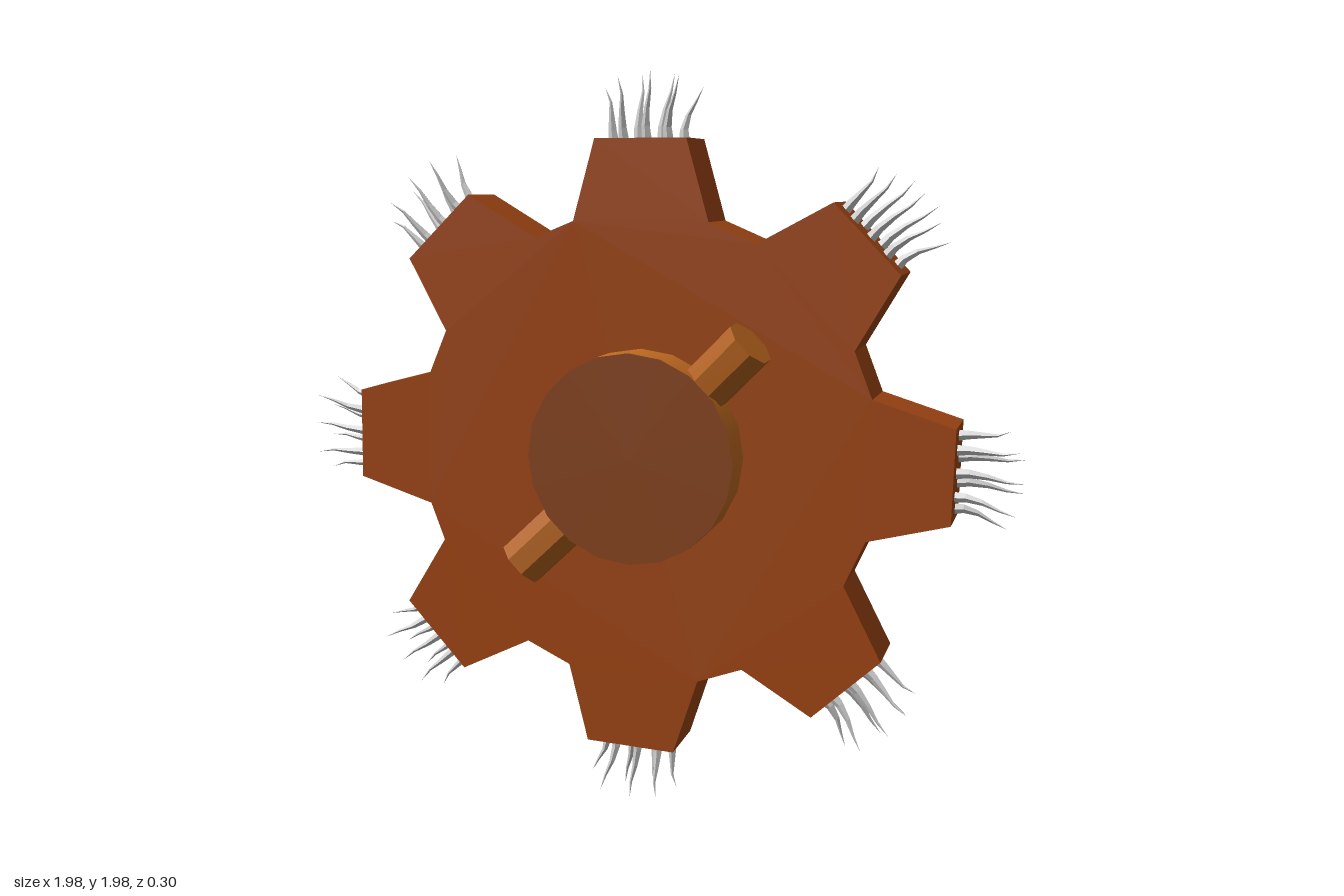
import * as THREE from 'three';

const rad = THREE.MathUtils.degToRad;
const BACK = -0.15, FRONT = 0.022;
// Slightly uneven, hand-cut tooth directions, going clockwise from the top
const TEETH = [90, 44.1, -1.2, -46.7, -92, -137.6, -181, -226];
// Spikes on one tooth: offset along the tip, offset in z, splay in z
const SPIKES = [
  [-0.095, 0.002, 0.01], [-0.06, 0.022, 0.03], [-0.035, -0.024, -0.028], [0, 0.018, 0.016],
  [0.03, -0.022, -0.03], [0.06, 0.022, 0.028], [0.095, -0.004, -0.012],
];

const rust = new THREE.MeshStandardMaterial({ color: 0x9c4412, flatShading: true, side: THREE.DoubleSide });
const hubFace = new THREE.MeshStandardMaterial({ color: 0x84421c });
const hubRim = new THREE.MeshStandardMaterial({ color: 0xc06a20 });
const pegWood = new THREE.MeshStandardMaterial({ color: 0xb0601c, flatShading: true });
const steel = new THREE.MeshStandardMaterial({ color: 0xcccccc, flatShading: true });

function add(parent, name, geometry, material) {
  const mesh = new THREE.Mesh(geometry, material);
  mesh.name = name;
  parent.add(mesh);
  return mesh;
}

// Cog outline, counter-clockwise: the same tapered tooth at each direction
function cogOutline() {
  const tooth = [[-0.183, 0.607], [-0.123, 0.818], [0.123, 0.818], [0.183, 0.607]];
  return TEETH.flatMap((deg) => tooth.map(([x, y]) =>
    new THREE.Vector2(x, y).rotateAround(new THREE.Vector2(), rad(deg - 90)))).reverse();
}

// Wall strip running round the outline
function wallGeometry(outline) {
  const positions = [];
  outline.forEach((a, i) => {
    const b = outline[(i + 1) % outline.length];
    positions.push(a.x, a.y, FRONT, a.x, a.y, BACK, b.x, b.y, BACK);
    positions.push(a.x, a.y, FRONT, b.x, b.y, BACK, b.x, b.y, FRONT);
  });
  const g = new THREE.BufferGeometry();
  g.setAttribute('position', new THREE.Float32BufferAttribute(positions, 3));
  g.computeVertexNormals();
  return g;
}

// Thin cone curving sideways and splaying in z; its base sinks through the wall
function spikeGeometry(length, lean, splay) {
  const g = new THREE.ConeGeometry(0.016, length + 0.015, 5, 4);
  g.translate(0, length / 2 - 0.0075, 0);
  const p = g.attributes.position;
  for (let i = 0; i < p.count; i++) {
    const t = Math.max(0, p.getY(i) / length);
    p.setX(i, p.getX(i) + lean * t * t - 0.004 * Math.sin(t * Math.PI * 2));
    p.setZ(i, p.getZ(i) + splay * t);
  }
  g.computeVertexNormals();
  return g;
}

// Eight-sided peg leaning out of the plate, from under the hub to its free end
function peg(parent, name, deg) {
  const inner = new THREE.Vector3(0.2, 0, 0.055);
  const outer = new THREE.Vector3(0.44, 0, 0.086);
  const g = new THREE.CylinderGeometry(0.068, 0.068, inner.distanceTo(outer), 8);
  g.rotateY(Math.PI / 8);
  g.rotateZ(-Math.PI / 2);
  g.rotateY(-Math.atan2(outer.z - inner.z, outer.x - inner.x));
  const mid = inner.add(outer).multiplyScalar(0.5);
  g.translate(mid.x, mid.y, mid.z);
  add(parent, name, g, pegWood).rotation.z = rad(deg);
}

export function createModel() {
  const model = new THREE.Group();
  model.name = 'spikedCog';
  const wheel = new THREE.Group();
  wheel.name = 'wheel';
  wheel.position.y = 1.003;
  model.add(wheel);

  // Cog: a front sheet with walls, open at the back
  const outline = cogOutline();
  const face = new THREE.ShapeGeometry(new THREE.Shape(outline));
  face.translate(0, 0, FRONT);
  add(wheel, 'cogFace', face, rust);
  add(wheel, 'cogWalls', wallGeometry(outline), rust);

  // Round hub standing proud of the front
  const hub = new THREE.Group();
  hub.name = 'hub';
  hub.position.set(0.004, 0.002, FRONT);
  wheel.add(hub);
  const depth = 0.111;
  const rim = new THREE.CylinderGeometry(0.277, 0.277, depth, 20, 1, true);
  rim.rotateX(Math.PI / 2);
  add(hub, 'hubRim', rim, hubRim).position.z = depth / 2;
  const disc = new THREE.CircleGeometry(0.277, 20);
  disc.rotateZ(Math.PI / 2);
  add(hub, 'hubFace', disc, hubFace).position.z = depth;

  // Pegs on opposite sides of the hub
  peg(wheel, 'upperPeg', 44.8);
  peg(wheel, 'lowerPeg', 224.3);

  // A cluster of spikes on every tooth
  TEETH.forEach((deg, n) => {
    const cluster = new THREE.Group();
    cluster.name = 'toothSpikes' + (n + 1);
    cluster.rotation.z = rad(deg - 90);
    wheel.add(cluster);
    for (const [x, z, splay] of SPIKES) {
      const length = 0.172 - 4.5 * x * x;
      const spike = add(cluster, 'spike', spikeGeometry(length, 0.012 + 0.36 * x, splay), steel);
      spike.position.set(x, 0.818, -0.062 + z);
    }
  });
  return model;
}
